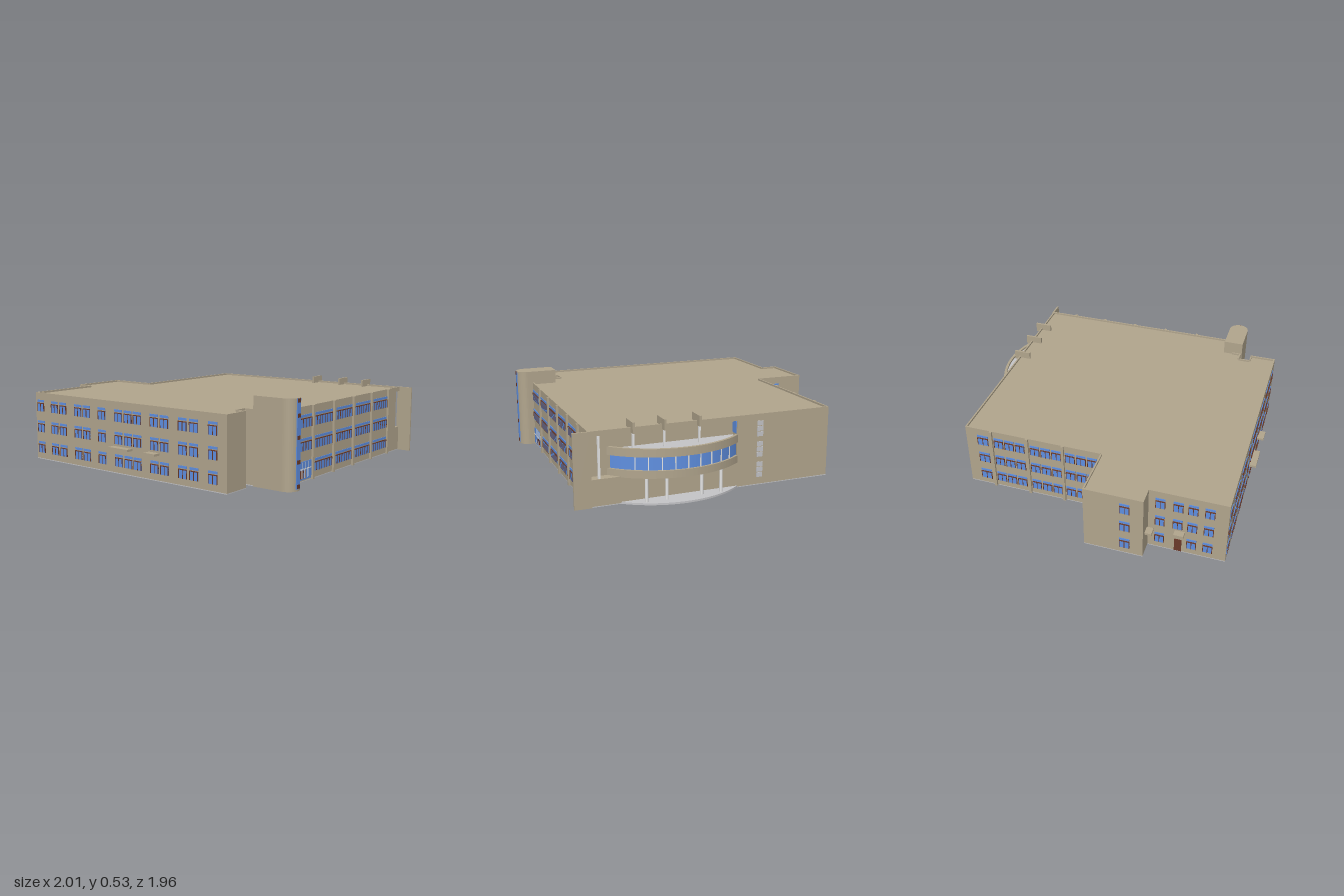
import * as THREE from 'three';

const flat = (color) => new THREE.MeshStandardMaterial({ color });
const wallMat = flat(0xb1a58d); wallMat.name = 'beige wall';
const glassMat = flat(0x5f8fe0); glassMat.name = 'blue glass';
const frameMat = flat(0x6b3a2a); frameMat.name = 'brown frame';
const greyMat = flat(0xc4c4c7); greyMat.name = 'pale grey';
const whiteMat = flat(0xe6e6e6); whiteMat.name = 'white';

// Main footprint as [x, z], starting at the back left corner of the plan
const backEdge = [[-0.665, -0.849], [0.895, -0.849]];
const notchedEdge = [[-0.665, -0.849], [-0.03, -0.849], [-0.03, -0.79], [0.895, -0.79]];
const otherEdges = [
  [0.895, 0.62], [0.73, 0.62], [0.73, 0.683], [0.665, 0.683], [0.665, 0.757], [0.73, 0.757],
  [0.73, 0.933], [-0.89, 0.933], [-0.89, 0.447], [-1, 0.447], [-1, 0.072], [-0.665, 0.072],
];
const FLOORS = [0.045, 0.185, 0.325];
const BOW = { x: 0.335, z: -0.39, r: 0.59 };

export function createModel() {
  const model = new THREE.Group();
  model.name = 'officeBuilding';

  const add = (name, geometry, material, parent = model) => {
    const mesh = new THREE.Mesh(geometry, material);
    mesh.name = name;
    parent.add(mesh);
    return mesh;
  };
  // Box given by its limits
  const box = (name, material, x0, x1, y0, y1, z0, z1, parent = model) => {
    const m = add(name, new THREE.BoxGeometry(x1 - x0, y1 - y0, z1 - z0), material, parent);
    m.position.set((x0 + x1) / 2, (y0 + y1) / 2, (z0 + z1) / 2);
    return m;
  };
  // Vertical prism over a plan outline
  const prism = (name, material, plan, y0, y1) => {
    const shape = new THREE.Shape(plan.map(([x, z]) => new THREE.Vector2(x, -z)));
    const g = new THREE.ExtrudeGeometry(shape, { depth: y1 - y0, bevelEnabled: false });
    g.rotateX(-Math.PI / 2);
    g.translate(0, y0, 0);
    return add(name, g, material);
  };

  // Main body, with a recessed balcony strip at the back
  const footprint = [...backEdge, ...otherEdges];
  prism('groundPlate', greyMat, footprint, 0, 0.005);
  prism('lowerWalls', wallMat, footprint, 0.005, 0.165);
  prism('upperWalls', wallMat, [...notchedEdge, ...otherEdges], 0.165, 0.42);
  prism('roof', wallMat, footprint, 0.42, 0.438);

  // Parapet along every edge, set inward
  footprint.forEach(([x0, z0], i) => {
    const [x1, z1] = footprint[(i + 1) % footprint.length];
    const t = 0.01, len = Math.hypot(x1 - x0, z1 - z0);
    const nx = -(z1 - z0) / len, nz = (x1 - x0) / len;
    const ax = x0 + nx * t, az = z0 + nz * t;
    box('parapet', wallMat, Math.min(ax, x0, x1), Math.max(ax, x0, x1), 0.438, 0.45,
      Math.min(az, z0, z1), Math.max(az, z0, z1));
  });

  // Stair tower with a rounded end
  const tower = [[0.73, 0.69], [0.73, 0.558]];
  for (let i = 0; i <= 20; i++) {
    const a = -Math.PI / 2 + (Math.PI * i) / 20;
    tower.push([0.93 + 0.066 * Math.cos(a), 0.624 + 0.066 * Math.sin(a)]);
  }
  prism('stairTower', wallMat, tower, 0, 0.53);
  box('towerGlass', glassMat, 0.99, 0.998, 0.012, 0.528, 0.606, 0.643);
  for (const y of [0.015, 0.155, 0.295, 0.42, 0.505]) {
    box('towerSpandrel', frameMat, 0.991, 1, y, y + 0.023, 0.61, 0.639);
  }

  // A facade is a turned group: u runs along the wall, d is its distance from the centre
  const facade = (name, turn, d) => {
    const g = new THREE.Group();
    g.name = name;
    g.rotation.y = turn;
    model.add(g);
    const plate = (part, mat, u0, u1, y0, y1, t = 0.004) =>
      box(part, mat, u0, u1, y0, y1, d - 0.002, d + t, g);
    return { group: g, plate, d };
  };
  // Window with transom light, header and brown bars
  const windowAt = (f, u, w, y, bars = 2) => {
    f.plate('windowGlass', glassMat, u, u + w, y, y + 0.054);
    f.plate('transomGlass', glassMat, u, u + w, y + 0.061, y + 0.076);
    f.plate('windowHeader', frameMat, u, u + w, y + 0.051, y + 0.056, 0.006);
    for (let i = 0; i <= bars; i++) {
      const c = u + 0.002 + ((w - 0.004) * i) / bars;
      f.plate('windowBar', frameMat, c - 0.002, c + 0.002, y, y + 0.054, 0.006);
    }
  };
  const rows = (f, list, w, bars) => {
    for (const y of FLOORS) for (const u of list) windowAt(f, u, w, y, bars);
  };

  // Front
  const front = facade('frontFacade', 0, 0.933);
  rows(front, [-0.872, -0.735, -0.652, -0.508, -0.428, -0.289, -0.144, -0.061, 0.016, 0.155, 0.235,
    0.376, 0.46, 0.599], 0.064);

  // Right side: long window bands between pilasters
  const right = facade('rightFacade', Math.PI / 2, 0.895);
  const pilasters = [-0.315, -0.07, 0.175, 0.42, 0.66];
  for (const u of pilasters) right.plate('pilaster', wallMat, u - 0.009, u + 0.009, 0, 0.45, 0.014);
  for (let i = 0; i < 4; i++) rows(right, [pilasters[i] + 0.014], 0.215, 7);
  for (const y of FLOORS.slice(1)) windowAt(right, -0.553, 0.225, y, 7);

  // Glazed entrance beside the tower
  right.plate('entranceGlass', glassMat, -0.553, -0.327, 0.012, 0.122);
  right.plate('entranceRail', whiteMat, -0.553, -0.327, 0.075, 0.079, 0.006);
  for (let i = 0; i < 5; i++) {
    const u = -0.5 + i * 0.033;
    right.plate('entranceMullion', whiteMat, u, u + 0.004, 0.02, 0.12, 0.006);
  }
  for (const u of [-0.475, -0.45, -0.425, -0.4]) {
    right.plate('entranceDoor', frameMat, u, u + 0.012, 0.02, 0.07, 0.005);
  }

  // Left side of the main block
  const left = facade('leftFacade', -Math.PI / 2, 0.665);
  for (const u of [-0.67, -0.42, -0.18]) {
    left.plate('pilaster', wallMat, u - 0.009, u + 0.009, 0, 0.45, 0.014);
    rows(left, [u + 0.016, u + 0.09, u + 0.164], 0.064);
  }
  rows(left, [-0.77], 0.075);

  // Side wing: outer wall, return wall and front part
  rows(facade('wingFacade', -Math.PI / 2, 1), [0.3], 0.064);
  const returnWall = facade('wingBackFacade', Math.PI, -0.072);
  for (const y of FLOORS.slice(1)) for (const u of [0.69, 0.765]) windowAt(returnWall, u, 0.06, y);
  windowAt(returnWall, 0.69, 0.03, FLOORS[0]);
  returnWall.plate('door', frameMat, 0.73, 0.77, 0.006, 0.1);
  box('doorCanopy', wallMat, -0.77, -0.73, 0.155, 0.17, 0.058, 0.08);
  const frontLeft = facade('frontLeftFacade', -Math.PI / 2, 0.89);
  rows(frontLeft, [0.49, 0.69, 0.79], 0.06);
  for (const y of FLOORS.slice(1)) windowAt(frontLeft, 0.6, 0.06, y);
  frontLeft.plate('door', frameMat, 0.615, 0.66, 0.006, 0.1);

  // Door canopies
  for (const [x0, x1, z0, z1] of [[-0.16, 0.003, 0.93, 0.978], [0.14, 0.225, 0.93, 0.978],
    [-0.968, -0.912, 0.44, 0.49], [-0.932, -0.885, 0.615, 0.677]]) {
    box('canopy', wallMat, x0, x1, 0.157, 0.171, z0, z1);
  }

  // Back: strip of pale panes
  const back = facade('backFacade', Math.PI, 0.849);
  for (const y of [0.05, 0.18, 0.31]) {
    for (let i = 0; i < 3; i++) {
      back.plate('stairPane', greyMat, 0.165, 0.205, y + i * 0.034, y + i * 0.034 + 0.029);
    }
  }

  // Bowed gallery at the back
  const arc = (r, zCut) => {
    const a = Math.acos((BOW.z - zCut) / r), pts = [];
    for (let i = 0; i <= 40; i++) {
      const t = -a + (2 * a * i) / 40;
      pts.push([BOW.x + r * Math.sin(t), BOW.z - r * Math.cos(t)]);
    }
    return pts;
  };
  const cut = -0.788;
  prism('terraceSlab', greyMat, arc(BOW.r, -0.848), 0, 0.012);
  prism('bowLowerBand', wallMat, arc(BOW.r, cut), 0.16, 0.206);
  prism('bowGlass', glassMat, arc(BOW.r - 0.014, cut), 0.206, 0.286);
  prism('bowUpperBand', wallMat, [...arc(BOW.r, cut), ...arc(BOW.r - 0.018, cut).reverse()], 0.286, 0.335);
  prism('bowTerraceFloor', greyMat, arc(BOW.r - 0.017, cut), 0.287, 0.322);
  for (let i = -4; i <= 4; i++) {
    const t = i * 0.135, r = BOW.r - 0.013;
    const m = add('bowMullion', new THREE.BoxGeometry(0.006, 0.08, 0.006), whiteMat);
    m.position.set(BOW.x + r * Math.sin(t), 0.246, BOW.z - r * Math.cos(t));
    m.rotation.y = -t;
  }
  for (const x of [0.1, 0.225, 0.445, 0.57]) {
    const c = add('bowColumn', new THREE.CylinderGeometry(0.01, 0.01, 0.15, 12), whiteMat);
    c.position.set(x, 0.086, -0.905);
  }
  // Glazed end of the balcony
  box('balconyEndGlass', glassMat, -0.032, -0.026, 0.34, 0.416, -0.842, -0.795);

  // Roof fins with posts, and the corner screen wall
  for (const x of [0.225, 0.445, 0.635]) {
    box('roofFin', wallMat, x - 0.007, x + 0.007, 0.42, 0.485, -0.885, -0.77);
    box('finPost', whiteMat, x - 0.006, x + 0.006, 0.322, 0.42, -0.872, -0.858);
  }
  box('cornerScreen', wallMat, 0.88, 0.985, 0, 0.45, -0.855, -0.843);
  box('cornerPost', whiteMat, 0.825, 0.838, 0.165, 0.42, -0.845, -0.832);

  return model;
}
